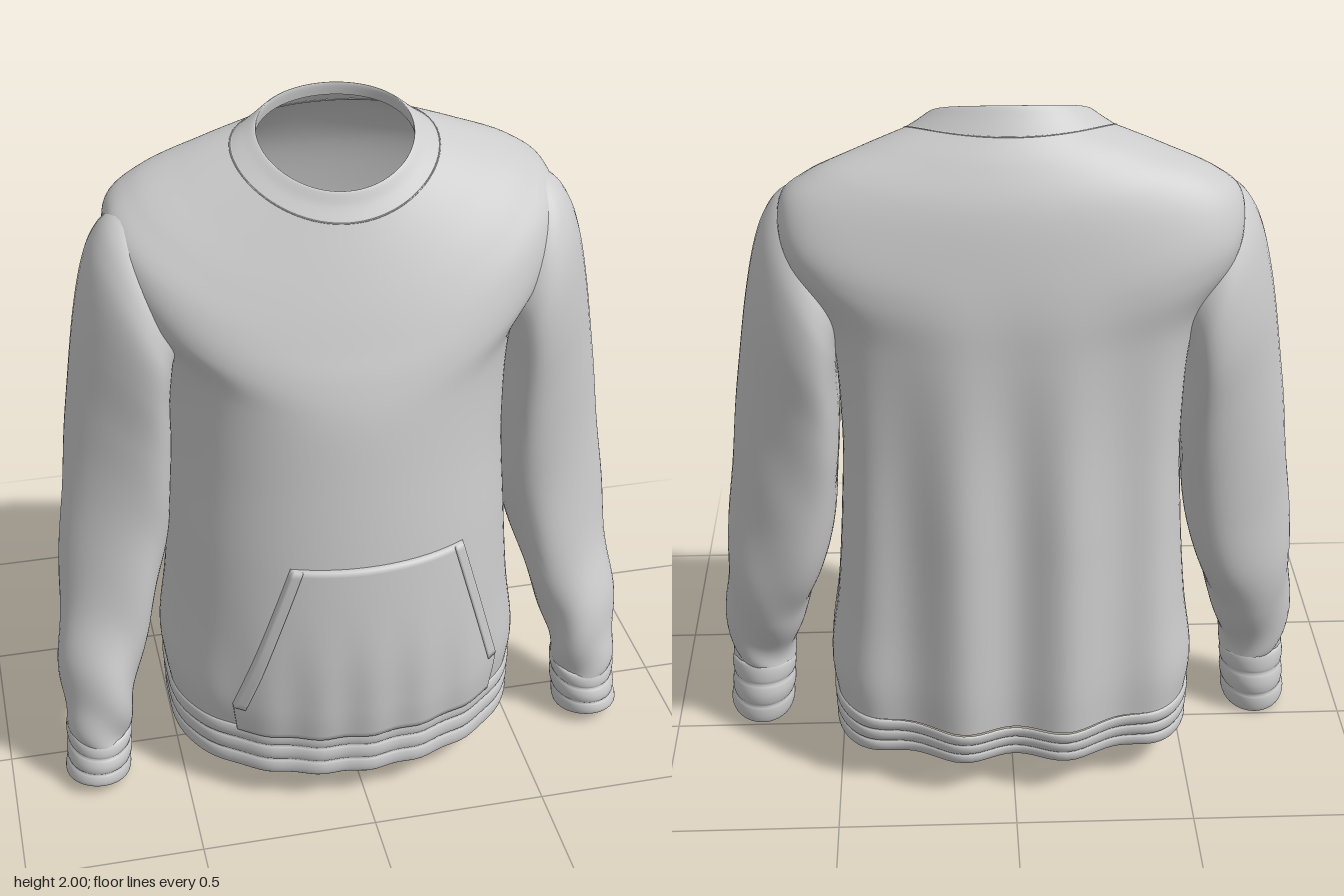
import * as THREE from 'three';

const fabric = new THREE.MeshStandardMaterial({ color: 0xcccccc, side: THREE.DoubleSide, roughness: 0.9 });
const { lerp, smoothstep } = THREE.MathUtils;

// Smoothly interpolates rows of section parameters, t from 0 to 1
function sample(rows, t) {
  const f = t * (rows.length - 1), i = Math.min(Math.floor(f), rows.length - 2), u = f - i;
  const p = rows[Math.max(i - 1, 0)], a = rows[i], b = rows[i + 1], n = rows[Math.min(i + 2, rows.length - 1)];
  return a.map((v, k) => {
    const m0 = (b[k] - p[k]) / 2, m1 = (n[k] - v) / 2, d = b[k] - v;
    return v + u * (m0 + u * (3 * d - 2 * m0 - m1 + u * (m0 + m1 - 2 * d)));
  });
}

// Grid surface from point(t, s); closed joins the ends of s
function surface(name, point, nt, ns, closed) {
  const pos = [], idx = [], cols = closed ? ns : ns + 1;
  for (let i = 0; i <= nt; i++)
    for (let j = 0; j < cols; j++) pos.push(...point(i / nt, j / ns));
  for (let i = 0; i < nt; i++)
    for (let j = 0; j < ns; j++) {
      const k = (j + 1) % cols;
      const a = i * cols + j, b = i * cols + k, c = a + cols, d = b + cols;
      idx.push(a, b, c, b, d, c);
    }
  const g = new THREE.BufferGeometry();
  g.setAttribute('position', new THREE.Float32BufferAttribute(pos, 3));
  g.setIndex(idx);
  g.computeVertexNormals();
  const mesh = new THREE.Mesh(g, fabric);
  mesh.name = name;
  return mesh;
}

// Body sections: half width, front z, back z, side z, side y, front y, back y
const BODY = [
  [0.27, 0.168, -0.22, -0.03, 1.898, 1.765, 1.935],
  [0.40, 0.212, -0.27, -0.05, 1.85, 1.66, 1.87],
  [0.53, 0.255, -0.32, -0.07, 1.797, 1.55, 1.77],
  [0.605, 0.29, -0.352, -0.07, 1.725, 1.45, 1.64],
  [0.59, 0.32, -0.37, -0.06, 1.58, 1.36, 1.50],
  [0.49, 0.345, -0.37, -0.04, 1.40, 1.25, 1.35],
  [0.465, 0.365, -0.362, -0.02, 1.10, 1.08, 1.10],
  [0.475, 0.39, -0.362, 0, 0.82, 0.82, 0.82],
  [0.495, 0.405, -0.366, 0, 0.55, 0.55, 0.55],
  [0.52, 0.398, -0.368, 0, 0.36, 0.36, 0.36],
  [0.51, 0.385, -0.365, 0, 0.25, 0.25, 0.24],
];

// Point on a body section, tilted front to back, with soft vertical folds lower down
function ringPoint([w, zF, zB, zC, yS, yF, yB], angle) {
  const c = Math.cos(angle), s = Math.sin(angle), back = s < 0;
  const x = w * c, y = yS + (yF - yB) / 2 * s + ((yF + yB) / 2 - yS) * s * s;
  const boxy = smoothstep(-yS, -1.9, -1.6);
  const depth = Math.pow(Math.abs(s), lerp(1, back ? 0.46 : 0.92, boxy));
  let z = zC + ((back ? zB : zF) - zC) * depth;
  const drape = 1 - smoothstep(y, 0.8, 1.65);
  if (back) z += 0.05 * drape * s * (0.5 - 0.5 * Math.cos(x * 21));
  else z += 0.005 * s * (1 - smoothstep(y, 0.3, 0.75)) * Math.sin(x * 42 + 1);
  return [x, y, z];
}
const bodyPoint = (t, s) => ringPoint(sample(BODY, t), s * Math.PI * 2);

// Point on the front of the body at x, y, lifted by off
function onFront(x, y, off) {
  let lo = 0, hi = 1;
  for (let i = 0; i < 24; i++) {
    const mid = (lo + hi) / 2;
    if (sample(BODY, mid)[5] > y) lo = mid; else hi = mid;
  }
  const r = sample(BODY, lo);
  const p = ringPoint(r, Math.acos(Math.max(-1, Math.min(1, x / r[0]))));
  return [x, y, p[2] + off];
}

// Raised panel on the front; its border drops to the cloth
function panel(name, left, right, y0, y1, off, nt, ns) {
  return surface(name, (t, s) => {
    const u = Math.max(0, Math.min(1, (s * ns - 1) / (ns - 2)));
    const v = Math.max(0, Math.min(1, (t * nt - 1) / (nt - 2)));
    const edge = t === 0 || t === 1 || s === 0 || s === 1;
    const y = lerp(y1, y0, v);
    return onFront(lerp(left(y), right(y), u), y, edge ? 0.001 : off);
  }, nt, ns, false);
}

function seam(name, points) {
  const curve = new THREE.CatmullRomCurve3(points.map(p => new THREE.Vector3(...p)), true);
  const mesh = new THREE.Mesh(new THREE.TubeGeometry(curve, 80, 0.002, 5, true), fabric);
  mesh.name = name;
  return mesh;
}

// Sleeve sections: outer x, outer y, inner x, inner y, front z, back z, front lift, taper to the outside
const SLEEVE = [
  [0.50, 1.77, 0.40, 1.42, 0.07, -0.19, 0, 0.3],
  [0.59, 1.745, 0.43, 1.39, 0.13, -0.235, 0, 0.35],
  [0.642, 1.69, 0.455, 1.36, 0.16, -0.265, 0, 0.4],
  [0.678, 1.60, 0.465, 1.31, 0.172, -0.278, 0, 0.42],
  [0.71, 1.45, 0.472, 1.22, 0.165, -0.272, 0, 0.42],
  [0.74, 1.25, 0.472, 1.09, 0.145, -0.24, 0, 0.42],
  [0.766, 1.05, 0.48, 0.94, 0.13, -0.21, 0, 0.4],
  [0.79, 0.83, 0.50, 0.75, 0.125, -0.18, 0, 0.35],
  [0.815, 0.60, 0.55, 0.55, 0.15, -0.15, 0, 0.25],
  [0.832, 0.42, 0.60, 0.40, 0.19, -0.09, -0.01, 0.15],
  [0.835, 0.28, 0.63, 0.28, 0.21, -0.03, -0.01, 0.05],
  [0.825, 0.20, 0.65, 0.19, 0.205, -0.005, -0.02, 0],
];
const CUFF = [
  [0.825, 0.205, 0.65, 0.195, 0.20, 0, -0.02, 0],
  [0.83, 0.11, 0.655, 0.11, 0.215, -0.005, 0, 0],
  [0.84, 0.03, 0.665, 0.02, 0.22, 0.01, 0.02, 0],
];

function armPoint([ox, oy, ix, iy, zF, zB, lift, taper], angle, side, grow) {
  const s = Math.sin(angle) * side, c = Math.cos(angle) - taper * s * s;
  return [
    side * ((ox + ix) / 2 + ((ox - ix) / 2 + grow) * c),
    (oy + iy) / 2 + (oy - iy) / 2 * c + lift * s,
    (zF + zB) / 2 + ((zF - zB) / 2 + grow) * s,
  ];
}
const ribs = t => 0.008 * Math.sqrt(Math.abs(Math.sin(t * Math.PI * 3)));

function arm(side) {
  const g = new THREE.Group();
  g.name = side > 0 ? 'leftSleeve' : 'rightSleeve';
  g.add(surface('sleeve', (t, s) => {
    const a = s * Math.PI * 2;
    // Diagonal creases gather at the elbow and above the cuff
    const amount = 0.006 * smoothstep(t, 0.4, 0.9);
    const crease = amount * Math.sin(t * 36 + Math.cos(a) * 3 + Math.sin(a) * side * 3);
    return armPoint(sample(SLEEVE, t), a, side, crease);
  }, 90, 48, true));
  // Ribbed cuff with the edge turned inside
  g.add(surface('cuff', (t, s) => {
    const out = Math.min(t / 0.8, 1), turn = Math.max(0, (t - 0.8) / 0.2);
    const row = sample(CUFF, out - turn * 0.35);
    return armPoint(row, s * Math.PI * 2, side, turn > 0 ? -0.006 : ribs(out));
  }, 45, 40, true));
  return g;
}

export function createModel() {
  const model = new THREE.Group();
  model.name = 'sweatshirt';
  model.add(surface('body', bodyPoint, 110, 128, true));

  // Neckband, from its inside edge over the top to the neck seam
  const neck = [
    [0.212, 0.138, -0.183, -0.03, 1.90, 1.80, 1.965],
    [0.207, 0.132, -0.178, -0.03, 1.93, 1.828, 1.993],
    [0.212, 0.137, -0.182, -0.03, 1.935, 1.832, 2.0],
    [0.24, 0.15, -0.20, -0.03, 1.917, 1.80, 1.97],
    [0.271, 0.169, -0.221, -0.03, 1.898, 1.765, 1.935],
  ];
  model.add(surface('neckband', (t, s) => ringPoint(sample(neck, t), s * Math.PI * 2), 24, 80, true));
  model.add(seam('neckSeam', Array.from({ length: 40 }, (_, i) => bodyPoint(0.008, i / 40))));

  // Ribbed hem band with the edge turned inside
  model.add(surface('hemBand', (t, s) => {
    const out = Math.min(t / 0.8, 1), turn = Math.max(0, (t - 0.8) / 0.2);
    const h = out - turn * 0.8, r = turn > 0 ? -0.006 : ribs(out);
    const yF = lerp(0.255, 0.105, h), yB = lerp(0.235, 0.125, h);
    const w = lerp(0.51, 0.505, h) + r;
    return ringPoint([w, 0.383 + r, lerp(-0.365, -0.335, h) - r, 0, yF, yF, yB], s * Math.PI * 2);
  }, 45, 128, true));

  // Front pouch pocket with slanted openings
  const left = y => y > 0.34 ? lerp(-0.37, -0.21, (y - 0.34) / 0.495) : lerp(-0.36, -0.37, (y - 0.25) / 0.09);
  const right = y => y > 0.38 ? lerp(0.41, 0.28, (y - 0.38) / 0.455) : lerp(0.39, 0.41, (y - 0.25) / 0.13);
  const pocket = new THREE.Group();
  pocket.name = 'pocket';
  pocket.add(panel('pocketPanel', left, right, 0.25, 0.835, 0.017, 40, 48));
  pocket.add(panel('rightOpeningEdge', left, y => left(y) + 0.03, 0.34, 0.835, 0.021, 30, 6));
  pocket.add(panel('leftOpeningEdge', y => right(y) - 0.03, right, 0.38, 0.835, 0.021, 30, 6));
  model.add(pocket);

  model.add(arm(1), arm(-1));
  return model;
}
